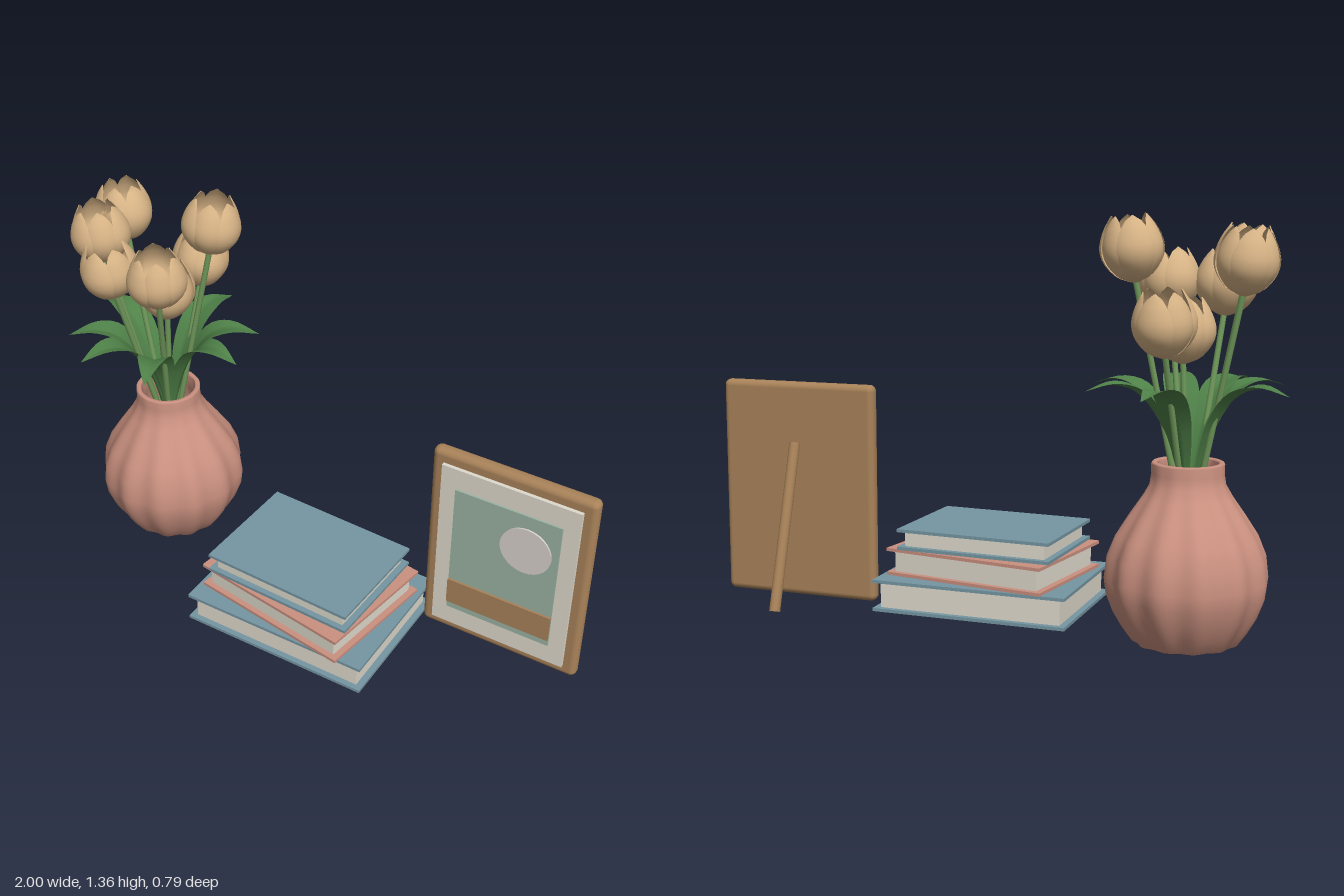
import * as THREE from 'three';
import { mergeVertices } from 'three/addons/utils/BufferGeometryUtils.js';
import { RoundedBoxGeometry } from 'three/addons/geometries/RoundedBoxGeometry.js';
import { ParametricGeometry } from 'three/addons/geometries/ParametricGeometry.js';

function material(name, color, side = THREE.FrontSide) {
  const m = new THREE.MeshStandardMaterial({ color, side });
  m.name = name;
  return m;
}

function add(parent, name, geometry, mat, x = 0, y = 0, z = 0) {
  const mesh = new THREE.Mesh(geometry, mat);
  mesh.name = name;
  mesh.position.set(x, y, z);
  parent.add(mesh);
  return mesh;
}

function group(parent, name, x = 0, y = 0, z = 0, turn = 0) {
  const g = new THREE.Group();
  g.name = name;
  g.position.set(x, y, z);
  g.rotation.y = turn;
  parent.add(g);
  return g;
}

const spline = (points) => new THREE.CatmullRomCurve3(points.map(([x, y]) => new THREE.Vector3(x, y, 0)));

// Fluted vase: a turned profile whose radius swells in twelve soft ribs
function vaseGeometry() {
  const outer = [
    [0, 0], [0.155, 0], [0.168, 0.004], [0.2, 0.05], [0.228, 0.1], [0.25, 0.16], [0.256, 0.21], [0.248, 0.28],
    [0.222, 0.345], [0.182, 0.41], [0.142, 0.47], [0.12, 0.51], [0.115, 0.545], [0.116, 0.575], [0.112, 0.581],
  ];
  const inner = [[0.1, 0.581], [0.096, 0.575], [0.095, 0.52], [0.12, 0.47], [0.15, 0.38], [0, 0.36]];
  const profile = [...outer, ...inner].map(([r, y]) => new THREE.Vector2(r, y));
  const geo = new THREE.LatheGeometry(profile, 96);
  const p = geo.attributes.position;
  for (let i = 0; i < p.count; i++) {
    const x = p.getX(i), y = p.getY(i), z = p.getZ(i);
    const fade = THREE.MathUtils.clamp((0.6 - y) / 0.25, 0.15, 1);
    const k = 1 + 0.03 * fade * Math.cos(12 * Math.atan2(z, x));
    p.setXYZ(i, x * k, y, z * k);
  }
  geo.deleteAttribute('uv');
  geo.deleteAttribute('normal');
  const merged = mergeVertices(geo, 1e-5);
  merged.computeVertexNormals();
  return merged;
}

// Cupped petal with a pointed tip, standing on the flower axis
function petalGeometry(scale) {
  const side = spline([[0.012, 0], [0.06, 0.022], [0.097, 0.07], [0.104, 0.11], [0.09, 0.16], [0.062, 0.208]]);
  return new ParametricGeometry((u, v, target) => {
    const s = u * 2 - 1;
    const q = side.getPoint(v);
    const half = v < 0.55 ? 0.62 : 0.62 * Math.sqrt(Math.max(0, 1 - ((v - 0.55) / 0.45) ** 2)) + 0.03;
    const r = q.x * scale * (1 - 0.05 * s * s);
    target.set(r * Math.cos(s * half), q.y, -r * Math.sin(s * half));
  }, 8, 14);
}

// Arching leaf, folded gently along its midrib
function leafGeometry() {
  const path = spline([[0.02, 0.48], [0.05, 0.6], [0.1, 0.72], [0.17, 0.805], [0.25, 0.83], [0.335, 0.81]]);
  return new ParametricGeometry((u, v, target) => {
    const s = u * 2 - 1;
    const q = path.getPoint(v);
    const half = 0.052 * Math.sin(Math.PI * Math.pow(v, 1.25)) + 0.01 * (1 - v);
    target.set(q.x - Math.abs(s) * half * 0.2, q.y + Math.abs(s) * half * 0.2, -s * half);
  }, 6, 18);
}

export function createModel() {
  const model = new THREE.Group();
  model.name = 'shelfDecoration';

  const clay = material('clay pink', 0xcb9180);
  const blue = material('dusty blue', 0x7596a2);
  const cream = material('paper cream', 0xdfdacd);
  const wood = material('wood brown', 0xa88259);
  const sage = material('sage green', 0x9bb3a3);
  const disc = material('pale disc', 0xd8d2cb);
  const tan = material('petal tan', 0xd9b587, THREE.DoubleSide);
  const leafGreen = material('leaf green', 0x4f8148, THREE.DoubleSide);
  const stemGreen = material('stem green', 0x70995b);

  // Vase
  const bouquet = group(model, 'vaseWithFlowers', -0.667, 0, -0.025);
  add(bouquet, 'vase', vaseGeometry(), clay);

  // Leaves around the mouth
  const leaf = leafGeometry();
  [0, 36, 85, 174, 222, 254, 301].forEach((deg) => {
    add(bouquet, 'leaf', leaf, leafGreen).rotation.y = THREE.MathUtils.degToRad(deg);
  });

  // Flowers: centre of each head relative to the vase axis
  const heads = [
    [0.157, 1.25, -0.1], [-0.135, 1.22, 0.135], [-0.05, 1.135, 0.19], [0.027, 0.995, 0.005],
    [0.015, 1.03, -0.195], [-0.19, 1.215, -0.035], [0.125, 1.14, 0.145],
  ];
  const petals = [petalGeometry(1), petalGeometry(0.93)];
  const heart = new THREE.SphereGeometry(0.068, 16, 8, 0, Math.PI * 2, 0, Math.PI / 2);
  const up = new THREE.Vector3(0, 1, 0);
  heads.forEach(([x, y, z], n) => {
    const root = new THREE.Vector3(x * 0.12, 0.42, z * 0.12);
    const centre = new THREE.Vector3(x, y, z);
    const axis = centre.clone().sub(root).normalize().add(up).normalize();
    const base = centre.clone().addScaledVector(axis, -0.105);

    const flower = group(bouquet, 'flower', base.x, base.y, base.z);
    flower.quaternion.setFromUnitVectors(up, axis);
    for (let i = 0; i < 6; i++) {
      add(flower, 'petal', petals[i % 2], tan).rotation.y = (i * Math.PI) / 3 + n * 0.4;
    }
    add(flower, 'flowerHeart', heart, stemGreen, 0, 0.05, 0).scale.y = 0.3;

    const stemPath = new THREE.LineCurve3(root, base.clone().addScaledVector(axis, 0.02));
    add(bouquet, 'stem', new THREE.TubeGeometry(stemPath, 1, 0.01, 8), stemGreen);
  });

  // Stack of books: [x, z, bottom, height, width, depth, turn, cover]
  const books = [
    [0.09, 0.095, 0, 0.11, 0.69, 0.515, 0.12, blue],
    [0.09, 0.1, 0.11, 0.095, 0.595, 0.455, -0.03, clay],
    [0.086, 0.1, 0.205, 0.073, 0.557, 0.412, 0.08, blue],
  ];
  const t = 0.011;
  for (const [x, z, y, h, w, d, turn, cover] of books) {
    const book = group(model, 'book', x, y, z, turn);
    const board = new THREE.BoxGeometry(w, t, d);
    add(book, 'bottomCover', board, cover, 0, t / 2, 0);
    add(book, 'topCover', board, cover, 0, h - t / 2, 0);
    add(book, 'pages', new THREE.BoxGeometry(w - 0.045, h - 2 * t, d - 0.04), cream, 0, h / 2, 0);
  }

  // Picture frame with raised mat and layered picture
  const frame = group(model, 'pictureFrame', 0.71, 0.393, -0.167, 0.125);
  add(frame, 'frameBody', new RoundedBoxGeometry(0.575, 0.755, 0.05, 4, 0.022), wood);
  add(frame, 'mat', new THREE.BoxGeometry(0.488, 0.665, 0.02), cream, 0, 0, 0.028);
  add(frame, 'picture', new THREE.BoxGeometry(0.376, 0.51, 0.008), sage, 0, 0, 0.041);
  add(frame, 'pictureBand', new THREE.BoxGeometry(0.376, 0.1, 0.009), wood, 0, -0.176, 0.0485);
  const sun = add(frame, 'pictureDisc', new THREE.CylinderGeometry(0.09, 0.09, 0.008, 28), disc, 0.075, 0.115, 0.047);
  sun.rotation.x = Math.PI / 2;

  // Back strut
  const foot = new THREE.Vector3(0.682, 0.007, -0.38);
  const top = new THREE.Vector3(0.712, 0.56, -0.2);
  const dir = top.clone().sub(foot);
  const strut = add(model, 'backStrut', new THREE.CylinderGeometry(0.019, 0.019, dir.length(), 16), wood);
  strut.position.copy(foot).add(top).multiplyScalar(0.5);
  strut.quaternion.setFromUnitVectors(up, dir.normalize());

  return model;
}
